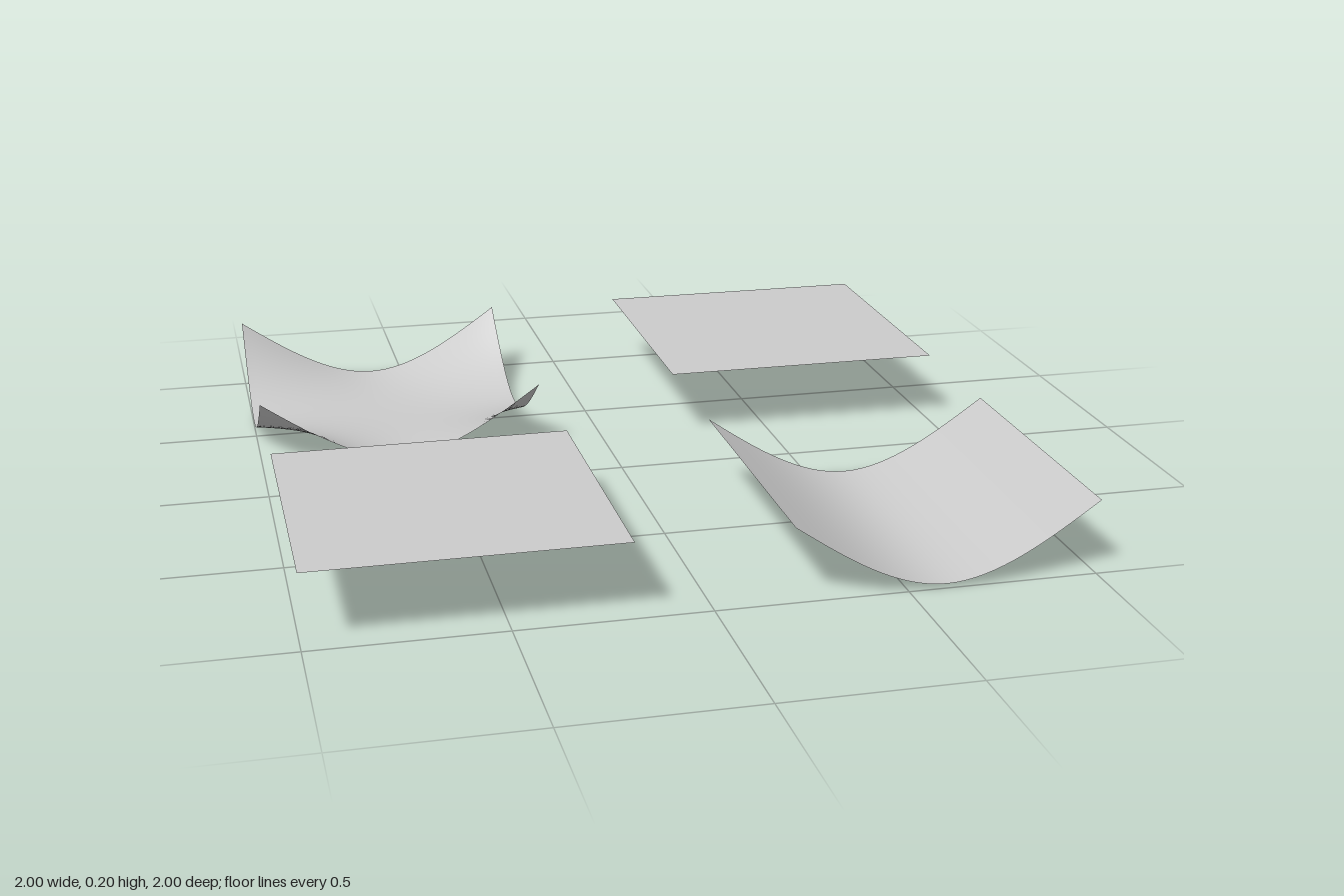
import * as THREE from 'three';

const SIZE = 0.8;     // side of each square sheet
const TOP = 0.2;      // height of all corners
const EDGE = 0.012;   // lowest point of a sagging edge

// Natural-spline sag: 0 in the middle, 1 at the rim, straightening out at the rim.
const sag = (t) => {
  const a = Math.abs(t);
  return 1.5 * a * a - 0.5 * a * a * a;
};

export function createModel() {
  const group = new THREE.Group();
  const material = new THREE.MeshStandardMaterial({ color: 0xcccccc, side: THREE.DoubleSide });

  // Square sheet whose height follows a rule over u, v in -1..1.
  function addSheet(name, x, z, segX, segZ, height) {
    const geometry = new THREE.PlaneGeometry(SIZE, SIZE, segX, segZ).rotateX(-Math.PI / 2);
    const p = geometry.attributes.position;
    for (let i = 0; i < p.count; i++) {
      p.setY(i, height((2 * p.getX(i)) / SIZE, (2 * p.getZ(i)) / SIZE));
    }
    geometry.computeVertexNormals();
    const mesh = new THREE.Mesh(geometry, material);
    mesh.name = name;
    mesh.position.set(x, 0, z);
    group.add(mesh);
  }

  // Two flat sheets
  addSheet('flatSheetFront', -0.6, 0.6, 1, 1, () => TOP);
  addSheet('flatSheetBack', 0.6, -0.6, 1, 1, () => TOP);

  // Trough, sagging across x only
  addSheet('troughSheet', 0.6, 0.6, 32, 1, (u) => EDGE + (TOP - EDGE) * sag(u));

  // Hammock-like sheet held up at its four corners
  addSheet('fourCornerSheet', -0.6, -0.6, 32, 32, (u, v) => {
    const a = sag(u), b = sag(v);
    return EDGE * (a + b) + (TOP - 2 * EDGE) * a * b;
  });

  return group;
}
